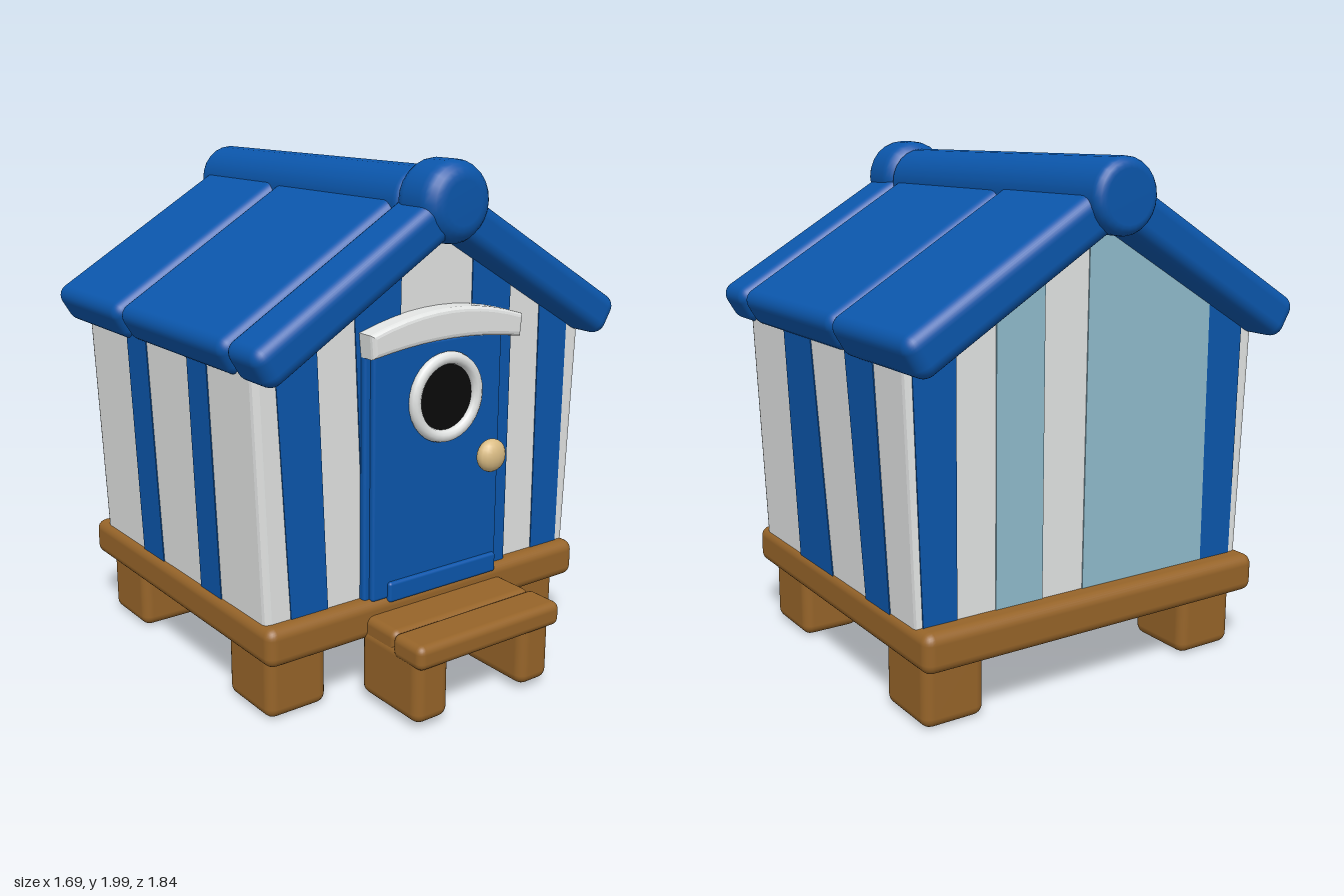
import * as THREE from 'three';
import { RoundedBoxGeometry } from 'three/addons/geometries/RoundedBoxGeometry.js';

const mat = (name, color) => {
  const m = new THREE.MeshStandardMaterial({ color });
  m.name = name;
  return m;
};

export function createModel() {
  const blue = mat('blue paint', 0x0b56ab);
  const white = mat('white paint', 0xe2e4e3);
  const pale = mat('pale blue paint', 0x8fbbcc);
  const wood = mat('brown wood', 0x966429);
  const brass = mat('knob', 0xdabc84);
  const black = mat('dark glass', 0x0a0a0a);

  const root = new THREE.Group();
  root.name = 'beachHut';
  const add = (name, geo, material, x = 0, y = 0, z = 0, parent = root) => {
    const m = new THREE.Mesh(geo, material);
    m.name = name;
    m.position.set(x, y, z);
    parent.add(m);
    return m;
  };
  // Rounded box given by its limits on each axis
  const block = (name, material, [x0, x1], [y0, y1], [z0, z1], r = 0.03) =>
    add(name, new RoundedBoxGeometry(x1 - x0, y1 - y0, z1 - z0, 3, r), material,
      (x0 + x1) / 2, (y0 + y1) / 2, (z0 + z1) / 2);
  const outline = pts => new THREE.Shape(pts.map(p => new THREE.Vector2(...p)));

  // Platform, legs and step
  block('platform', wood, [-0.76, 0.75], [0.25, 0.4], [-0.81, 0.6], 0.04);
  for (const x of [[-0.72, -0.46], [0.46, 0.71]]) {
    block('frontLeg', wood, x, [0.01, 0.3], [0.24, 0.53], 0.04);
    block('backLeg', wood, x, [0.01, 0.3], [-0.73, -0.44], 0.04);
  }
  block('stepPlankInner', wood, [-0.33, 0.34], [0.25, 0.345], [0.57, 0.765]);
  block('stepPlankOuter', wood, [-0.34, 0.35], [0.25, 0.345], [0.755, 0.92]);
  for (const x of [[-0.335, -0.18], [0.17, 0.32]])
    block('stepLeg', wood, x, [0.03, 0.3], [0.56, 0.9], 0.04);

  // Hut body: gabled prism that widens towards the eaves
  const B = 0.025, front = 0.545, back = -0.73, base = 0.37;
  const wallX = y => 0.735 + 0.04 * (y - base);
  const bodyShape = outline([
    [-wallX(base) + B, base], [wallX(base) - B, base], [wallX(1.35) - B, 1.35],
    [0, 1.78], [-wallX(1.35) + B, 1.35]]);
  add('walls', new THREE.ExtrudeGeometry(bodyShape, {
    depth: front - back - 2 * B, bevelSize: B, bevelThickness: B, bevelSegments: 3,
  }), white, 0, 0, back + B);

  // Painted stripes: [bottom start, bottom end, top start, top end]
  const plate = pts => new THREE.ExtrudeGeometry(outline(pts), { depth: 0.008, bevelEnabled: false })
    .translate(0, 0, -0.004);
  const gableStripe = (name, material, z, [b0, b1, t0, t1]) => {
    const top = x => 1.82 - 0.6 * Math.abs(x);
    const pts = [[b0, base], [b1, base], [t1, top(t1)]];
    if (t0 < 0 && t1 > 0) pts.push([0, top(0)]);
    pts.push([t0, top(t0)]);
    add(name, plate(pts), material, 0, 0, z);
  };
  for (const s of [
    [-0.63, -0.47, -0.69, -0.52], [-0.3, -0.16, -0.36, -0.145],
    [0.19, 0.37, 0.19, 0.385], [0.545, 0.685, 0.54, 0.695],
  ]) gableStripe('frontStripe', blue, front, s);
  gableStripe('backStripe', blue, back, [0.58, 0.715, 0.58, 0.75]);
  gableStripe('backStripe', blue, back, [-0.69, -0.54, -0.71, -0.54]);
  gableStripe('backPanel', pale, back, [0.22, 0.42, 0.22, 0.42]);
  gableStripe('backPanel', pale, back, [-0.54, 0.04, -0.54, 0.03]);

  const sideStripe = (side, [b0, b1, t0, t1]) => {
    const geo = plate([[b0, base], [b1, base], [t1, 1.38], [t0, 1.38]]).rotateY(-Math.PI / 2);
    const p = geo.attributes.position;
    for (let i = 0; i < p.count; i++) p.setX(i, p.getX(i) + side * wallX(p.getY(i)));
    geo.computeVertexNormals();
    add(side > 0 ? 'leftWallStripe' : 'rightWallStripe', geo, blue);
  };
  sideStripe(1, [-0.09, 0.2, -0.02, 0.21]);
  sideStripe(1, [-0.54, -0.36, -0.51, -0.3]);
  sideStripe(-1, [-0.38, -0.21, -0.38, -0.22]);
  sideStripe(-1, [0.09, 0.24, 0.1, 0.24]);

  // Roof: three overlapping boards on each slope
  const pitch = Math.atan(0.6);
  for (const s of [-1, 1])
    for (const [z0, z1, t, len] of [
      [0.465, 0.68, 0.16, 0.92], [-0.325, 0.462, 0.155, 0.92], [-0.88, -0.32, 0.165, 0.935],
    ]) {
      const board = add('roofBoard', new RoundedBoxGeometry(len, t, z1 - z0, 4, 0.05), blue,
        s * 0.42, 1.578, (z0 + z1) / 2);
      board.rotation.z = -s * pitch;
    }

  // Ridge beam and its thicker front cap
  const rod = (name, r, z0, z1, y, round) => {
    const L = z1 - z0, pts = [new THREE.Vector2(0, 0)];
    for (let i = 0; i <= 5; i++) {
      const a = i / 5 * Math.PI / 2;
      pts.push(new THREE.Vector2(r - round + round * Math.sin(a), round - round * Math.cos(a)));
    }
    for (let i = 0; i <= 5; i++) {
      const a = i / 5 * Math.PI / 2;
      pts.push(new THREE.Vector2(r - round + round * Math.cos(a), L - round + round * Math.sin(a)));
    }
    pts.push(new THREE.Vector2(0, L));
    add(name, new THREE.LatheGeometry(pts, 24).rotateX(Math.PI / 2), blue, 0.01, y, z0);
  };
  rod('ridgeBeam', 0.135, -0.92, 0.5, 1.835, 0.04);
  rod('ridgeCap', 0.15, 0.47, 0.7, 1.85, 0.07);

  // Door with frame, kick rail and curved lintel
  block('doorFrame', blue, [-0.325, 0.38], [0.38, 1.36], [0.5, 0.57], 0.012);
  block('door', blue, [-0.3, 0.31], [0.39, 1.35], [0.52, 0.59], 0.012);
  block('doorRail', blue, [-0.23, 0.3], [0.375, 0.455], [0.53, 0.605], 0.012);
  const arch = new THREE.Shape();
  arch.moveTo(-0.31, 1.34);
  arch.quadraticCurveTo(0.03, 1.4, 0.36, 1.34);
  arch.lineTo(0.365, 1.395);
  arch.quadraticCurveTo(0.03, 1.505, -0.315, 1.395);
  add('lintel', new THREE.ExtrudeGeometry(arch, {
    depth: 0.08, bevelSize: 0.018, bevelThickness: 0.018, bevelSegments: 3, curveSegments: 10,
  }), white, 0, 0, 0.53);

  // Round window and knob
  add('windowGlass', new THREE.CylinderGeometry(0.145, 0.145, 0.008, 32).rotateX(Math.PI / 2),
    black, 0.03, 1.13, 0.592);
  add('windowRing', new THREE.TorusGeometry(0.149, 0.024, 10, 32), white, 0.03, 1.13, 0.598);
  add('doorKnob', new THREE.SphereGeometry(0.065, 16, 12), brass, 0.235, 0.875, 0.63).scale.z = 0.65;

  return root;
}
